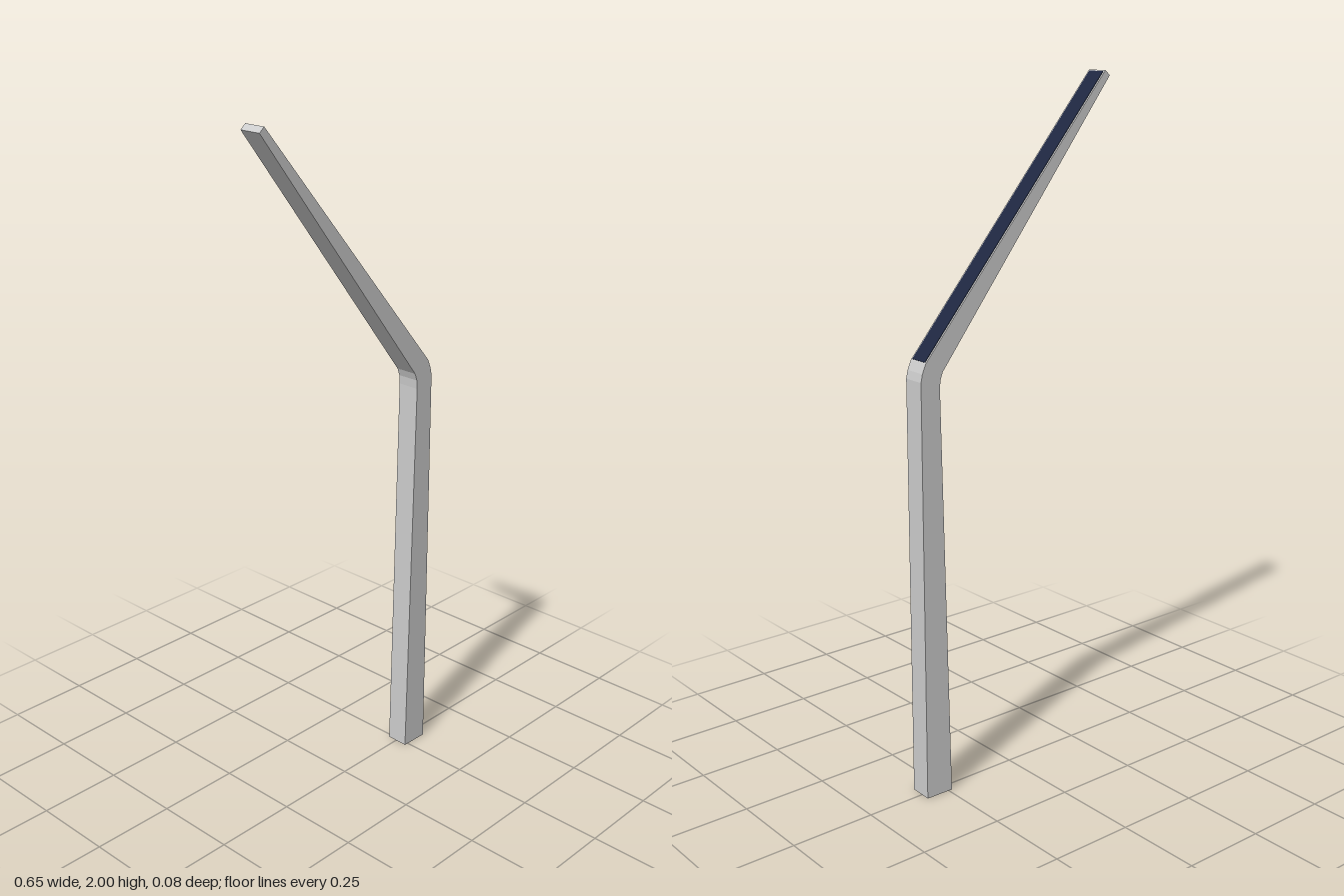
import * as THREE from 'three';

// Extrude a side profile, centred on z = 0
function extrudeProfile(points, depth, material, name) {
  const shape = new THREE.Shape(points.map(([x, y]) => new THREE.Vector2(x, y)));
  const geometry = new THREE.ExtrudeGeometry(shape, { depth, bevelEnabled: false });
  geometry.translate(0, 0, -depth / 2);
  const mesh = new THREE.Mesh(geometry, material);
  mesh.name = name;
  return mesh;
}

export function createModel() {
  const group = new THREE.Group();
  group.name = 'bentPost';
  const grey = new THREE.MeshStandardMaterial({ color: 0xcccccc, flatShading: true });
  const navy = new THREE.MeshStandardMaterial({ color: 0x1e2740 });

  // Tapered post with a chamfered bend and a slanted, tapering arm
  const post = extrudeProfile([
    [0.238, 0], [0.323, 0],
    [0.323, 1.215], [0.318, 1.238], [0.307, 1.264],
    [-0.309, 2], [-0.325, 1.986],
    [0.252, 1.235], [0.260, 1.213], [0.262, 1.187],
  ], 0.068, grey, 'post');

  // Thin dark panel lying on the upper face of the arm
  const start = new THREE.Vector2(0.305, 1.2664);
  const end = new THREE.Vector2(-0.306, 1.9964);
  const run = end.clone().sub(start);
  const panel = new THREE.Mesh(new THREE.BoxGeometry(run.length(), 0.003, 0.057), navy);
  panel.name = 'panel';
  panel.position.set((start.x + end.x) / 2, (start.y + end.y) / 2, 0);
  panel.rotation.z = Math.atan2(run.y, run.x) + Math.PI;

  // The whole post is turned slightly about its vertical axis
  const body = new THREE.Group();
  body.name = 'body';
  body.add(post, panel);
  body.rotation.y = -0.0205;
  body.position.z = -0.001;
  group.add(body);
  return group;
}
